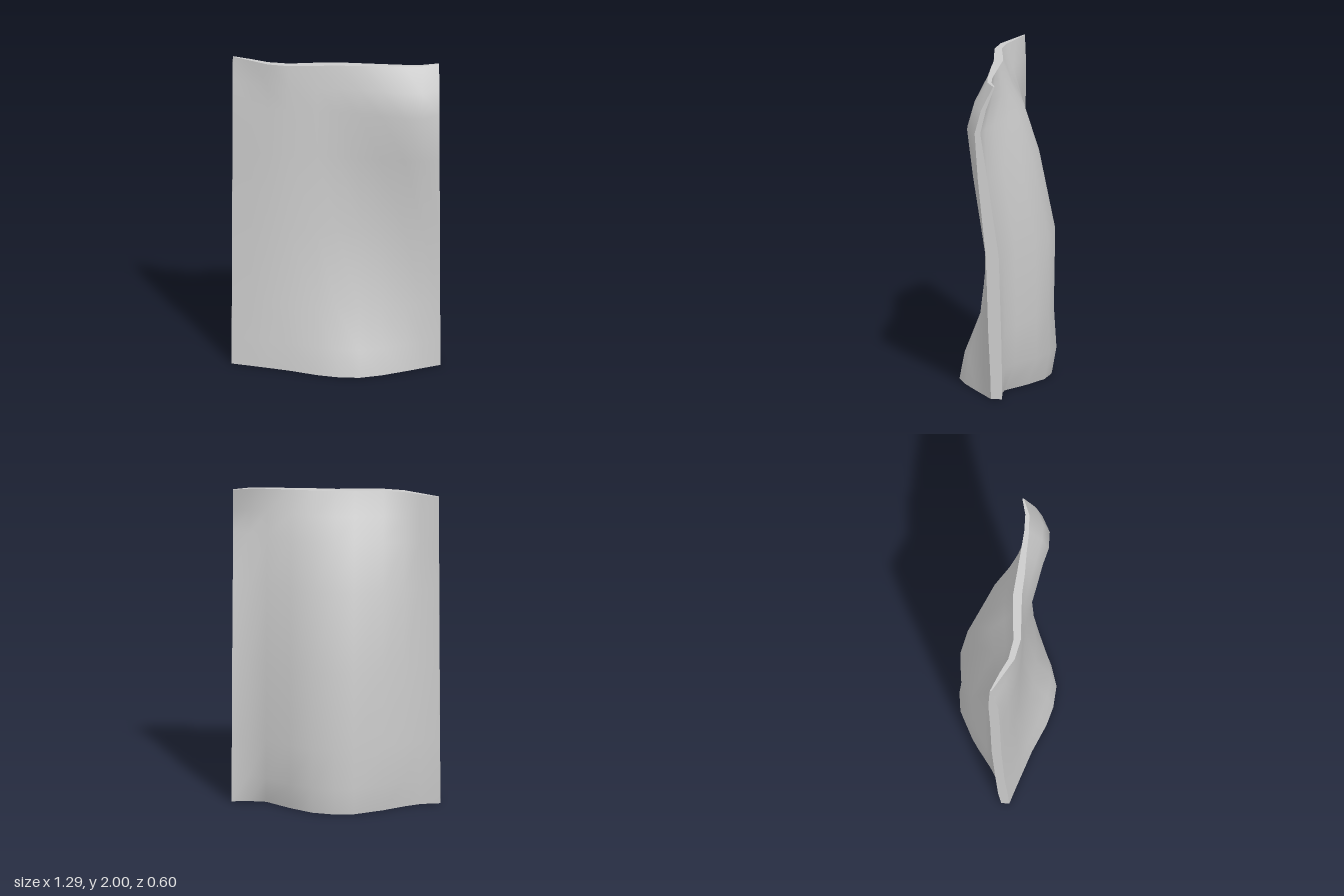
import * as THREE from 'three';

// Stations across the width and up the height
const X = [-0.65, -0.53, -0.43, -0.3, -0.12, 0, 0.14, 0.28, 0.43, 0.54, 0.645];
const Y = [0, 0.17, 0.42, 0.91, 1.4, 1.7, 1.85, 2];

// Depth of each face, one row per height
const FRONT = [
  [0.05, 0.09, 0.125, 0.17, 0.25, 0.285, 0.297, 0.255, 0.185, 0.13, 0.078],
  [0.04, 0.08, 0.11, 0.15, 0.215, 0.25, 0.265, 0.23, 0.17, 0.13, 0.083],
  [0.02, 0.06, 0.085, 0.115, 0.145, 0.16, 0.168, 0.16, 0.14, 0.12, 0.095],
  [0, 0.04, 0.065, 0.09, 0.1, 0.105, 0.11, 0.115, 0.12, 0.12, 0.11],
  [-0.01, 0.035, 0.065, 0.095, 0.1, 0.11, 0.135, 0.165, 0.195, 0.195, 0.16],
  [-0.02, 0.03, 0.065, 0.1, 0.105, 0.115, 0.15, 0.19, 0.232, 0.232, 0.18],
  [-0.045, 0.015, 0.06, 0.1, 0.1, 0.105, 0.13, 0.16, 0.19, 0.19, 0.14],
  [-0.062, 0.01, 0.07, 0.1, 0.095, 0.09, 0.1, 0.103, 0.11, 0.105, 0.065],
];
const BACK = [
  [0, -0.02, -0.075, -0.165, -0.26, -0.268, -0.23, -0.13, 0.005, 0.02, 0.01],
  [-0.02, -0.04, -0.105, -0.2, -0.285, -0.298, -0.262, -0.19, -0.06, -0.005, 0.01],
  [-0.035, -0.055, -0.11, -0.2, -0.275, -0.282, -0.255, -0.185, -0.07, -0.005, 0.015],
  [-0.06, -0.07, -0.115, -0.205, -0.283, -0.29, -0.255, -0.18, -0.06, 0.005, 0.03],
  [-0.07, -0.065, -0.085, -0.135, -0.185, -0.19, -0.16, -0.095, 0.01, 0.07, 0.1],
  [-0.08, -0.06, -0.055, -0.065, -0.09, -0.097, -0.07, -0.01, 0.07, 0.12, 0.145],
  [-0.078, -0.045, -0.01, 0.005, -0.015, -0.02, -0.005, 0.03, 0.085, 0.115, 0.11],
  [-0.072, -0.02, 0.03, 0.055, 0.04, 0.035, 0.05, 0.065, 0.08, 0.08, 0.055],
];

const lastX = X.length - 1, lastY = Y.length - 1;

// Point of a face; the width narrows slightly towards the top
function point(depths, i, j) {
  return [X[i] * (1 - 0.006 * Y[j]), Y[j], depths[j][i]];
}

// Surface over a grid of points, smooth normals
function grid(cols, rows, at, flip) {
  const pos = [], index = [];
  for (let j = 0; j < rows; j++) for (let i = 0; i < cols; i++) pos.push(...at(i, j));
  for (let j = 0; j < rows - 1; j++) for (let i = 0; i < cols - 1; i++) {
    const a = j * cols + i, b = a + 1, c = a + cols, d = c + 1;
    if (flip) index.push(a, c, b, b, c, d);
    else index.push(a, b, c, b, d, c);
  }
  const g = new THREE.BufferGeometry();
  g.setAttribute('position', new THREE.Float32BufferAttribute(pos, 3));
  g.setIndex(index);
  g.computeVertexNormals();
  return g;
}

export function createModel() {
  const group = new THREE.Group();
  group.name = 'cushionCover';
  const material = new THREE.MeshStandardMaterial({ color: 0xcccccc, side: THREE.DoubleSide });
  const add = (name, geometry) => {
    const mesh = new THREE.Mesh(geometry, material);
    mesh.name = name;
    group.add(mesh);
  };

  // Broad faces
  const nx = X.length, ny = Y.length;
  add('frontFace', grid(nx, ny, (i, j) => point(FRONT, i, j), false));
  add('backFace', grid(nx, ny, (i, j) => point(BACK, i, j), true));

  // Narrow edges joining front to back; the bottom stays open
  const side = (k) => (k ? BACK : FRONT);
  add('topEdge', grid(nx, 2, (i, k) => point(side(k), i, lastY), false));
  add('leftEdge', grid(2, ny, (k, j) => point(side(k), lastX, j), false));
  add('rightEdge', grid(2, ny, (k, j) => point(side(k), 0, j), true));
  return group;
}
